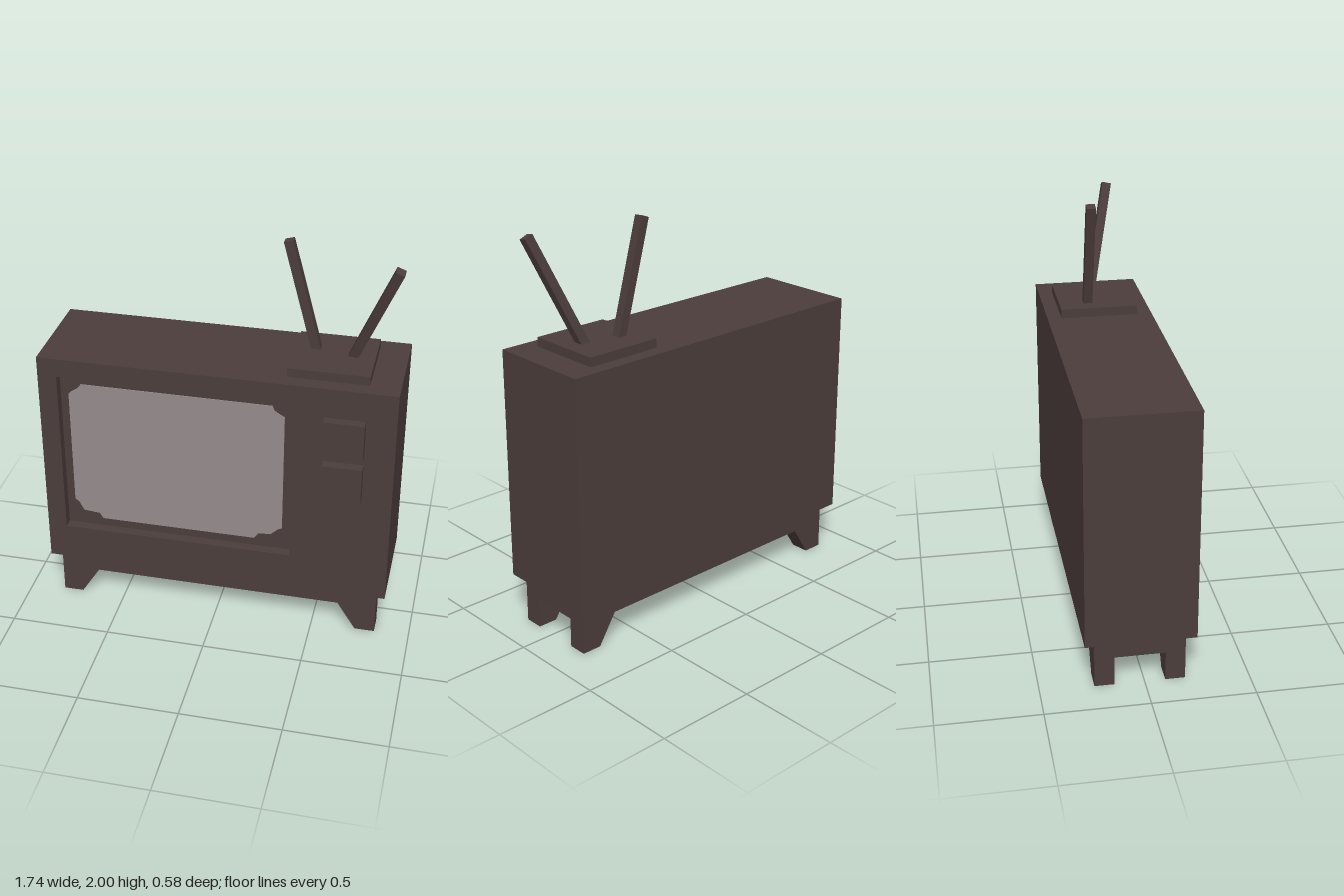
import * as THREE from 'three';

export function createModel() {
  const model = new THREE.Group();
  const casing = new THREE.MeshStandardMaterial({ color: 0x4b3d3b });
  casing.name = 'dark brown casing';
  const glass = new THREE.MeshStandardMaterial({ color: 0x958b8d });
  glass.name = 'grey glass';

  const add = (name, geometry, material = casing) => {
    const mesh = new THREE.Mesh(geometry, material);
    mesh.name = name;
    model.add(mesh);
    return mesh;
  };
  // Box given by its minimum and maximum corners
  const box = (name, x0, x1, y0, y1, z0, z1) =>
    add(name, new THREE.BoxGeometry(x1 - x0, y1 - y0, z1 - z0))
      .position.set((x0 + x1) / 2, (y0 + y1) / 2, (z0 + z1) / 2);
  const outline = (points) => new THREE.Shape(points.map(([x, y]) => new THREE.Vector2(x, y)));
  const extrude = (shape, depth) =>
    new THREE.ExtrudeGeometry(shape, { depth, bevelEnabled: false });

  // Cabinet, with a front frame around the recessed screen
  box('cabinet', -0.87, 0.87, 0.25, 1.41, -0.29, 0.19);
  const frame = outline([[-0.87, 0.25], [0.87, 0.25], [0.87, 1.41], [-0.87, 1.41]]);
  frame.holes.push(outline([[-0.775, 0.44], [-0.775, 1.315], [0.385, 1.315], [0.385, 0.44]]));
  add('screenFrame', extrude(frame, 0.05)).position.z = 0.19;

  // Glass with stepped corners
  const screen = outline([
    [-0.59, 0.485], [0.195, 0.485], [0.215, 0.515], [0.28, 0.522], [0.315, 0.555], [0.335, 0.565],
    [0.335, 1.205], [0.315, 1.215], [0.285, 1.235], [0.275, 1.26],
    [-0.67, 1.26], [-0.69, 1.235], [-0.72, 1.215], [-0.735, 1.2],
    [-0.735, 0.585], [-0.715, 0.57], [-0.69, 0.522], [-0.61, 0.515],
  ]);
  add('screenGlass', extrude(screen, 0.004), glass).position.z = 0.19;

  // Control knobs
  box('upperKnob', 0.53, 0.725, 1.07, 1.26, 0.24, 0.29);
  box('lowerKnob', 0.53, 0.725, 0.83, 1.02, 0.24, 0.29);

  // Base and four legs tapering on their inner sides
  box('base', -0.825, 0.825, 0.15, 0.25, -0.24, 0.195);
  for (const side of [-1, 1]) {
    const points = [[0.725, 0], [0.825, 0], [0.825, 0.15], [0.63, 0.15]];
    const leg = outline(points.map(([x, y]) => [x * side, y]));
    for (const [name, z] of [['frontLeg', 0.1], ['backLeg', -0.24]]) {
      add(name, extrude(leg, 0.095)).position.z = z;
    }
  }

  // Antenna plate and two slanted square rods
  box('antennaPlate', 0.335, 0.725, 1.41, 1.455, -0.22, 0.165);
  const rod = (name, from, to) => {
    const a = new THREE.Vector3(...from);
    const b = new THREE.Vector3(...to);
    const axis = b.clone().sub(a);
    const mesh = add(name, new THREE.BoxGeometry(0.045, axis.length(), 0.045));
    mesh.position.copy(a).add(b).multiplyScalar(0.5);
    mesh.quaternion.setFromUnitVectors(new THREE.Vector3(0, 1, 0), axis.normalize());
  };
  rod('rightAntenna', [0.441, 1.43, -0.074], [0.289, 1.995, -0.074]);
  rod('leftAntenna', [0.609, 1.43, -0.039], [0.824, 1.96, 0.086]);

  return model;
}
